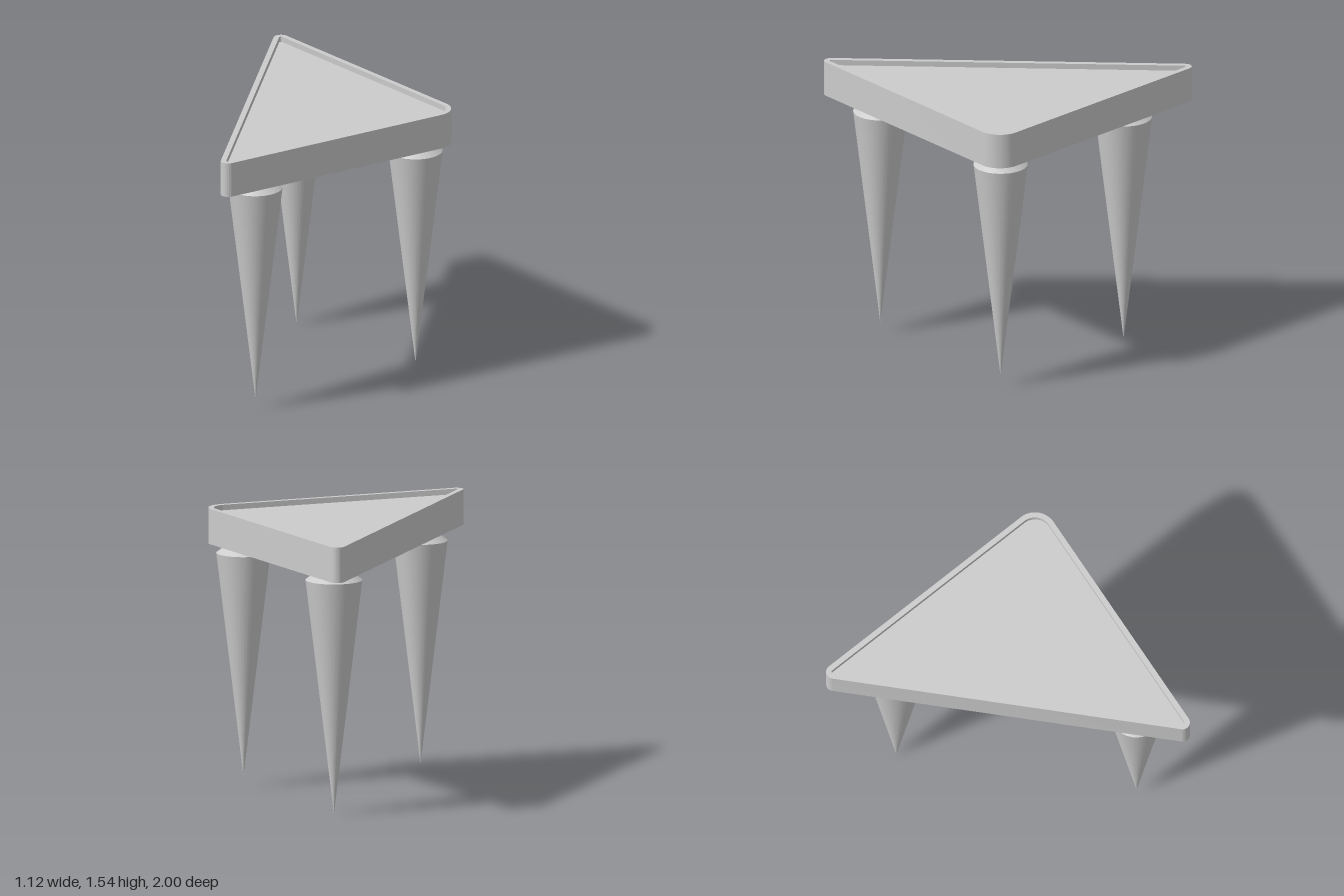
import * as THREE from 'three';
import { toCreasedNormals } from 'three/addons/utils/BufferGeometryUtils.js';

const material = new THREE.MeshStandardMaterial({ color: 0xcccccc });
const UNDERSIDE = 1.345, PANEL_TOP = 1.51, RIM_TOP = 1.54, RIM_WIDTH = 0.03;

// Rounded triangle: a broad corner at +x and two tight corners at -x.
function trace(path, inset) {
  const a = THREE.MathUtils.degToRad(48.4); // normal of the slanted sides
  path.absarc(0.44, 0, 0.12 - inset, -a, a);
  path.absarc(-0.52, 0.96, 0.04 - inset, a, Math.PI);
  path.absarc(-0.52, -0.96, 0.04 - inset, Math.PI, 2 * Math.PI - a);
  path.closePath();
  return path;
}

function slab(name, shape, top) {
  const geometry = new THREE.ExtrudeGeometry(shape, {
    depth: top - UNDERSIDE, bevelEnabled: false, curveSegments: 16,
  });
  geometry.rotateX(-Math.PI / 2).translate(0, UNDERSIDE, 0);
  const mesh = new THREE.Mesh(toCreasedNormals(geometry, 0.5), material);
  mesh.name = name;
  return mesh;
}

// Spike leg with a chamfered shoulder running into the underside.
function leg(name, x, z, tip, radius) {
  const profile = [
    [0, tip], [radius, 1.295], [radius * 0.57, UNDERSIDE], [radius * 0.4, 1.36], [0, 1.36],
  ].map(([r, y]) => new THREE.Vector2(r, y));
  const mesh = new THREE.Mesh(toCreasedNormals(new THREE.LatheGeometry(profile, 32), 0.5), material);
  mesh.name = name;
  mesh.position.set(x, 0, z);
  return mesh;
}

export function createModel() {
  const group = new THREE.Group();
  group.name = 'triangularTable';

  // Raised rim around a recessed top panel
  const rim = trace(new THREE.Shape(), 0);
  rim.holes.push(trace(new THREE.Path(), RIM_WIDTH));
  group.add(slab('rim', rim, RIM_TOP));
  group.add(slab('topPanel', trace(new THREE.Shape(), RIM_WIDTH), PANEL_TOP));

  // Three legs, the rear one slightly larger
  group.add(leg('frontLeg', -0.41, 0.69, 0.06, 0.148));
  group.add(leg('sideLeg', 0.365, 0, 0.06, 0.148));
  group.add(leg('rearLeg', -0.385, -0.635, 0, 0.155));
  return group;
}
